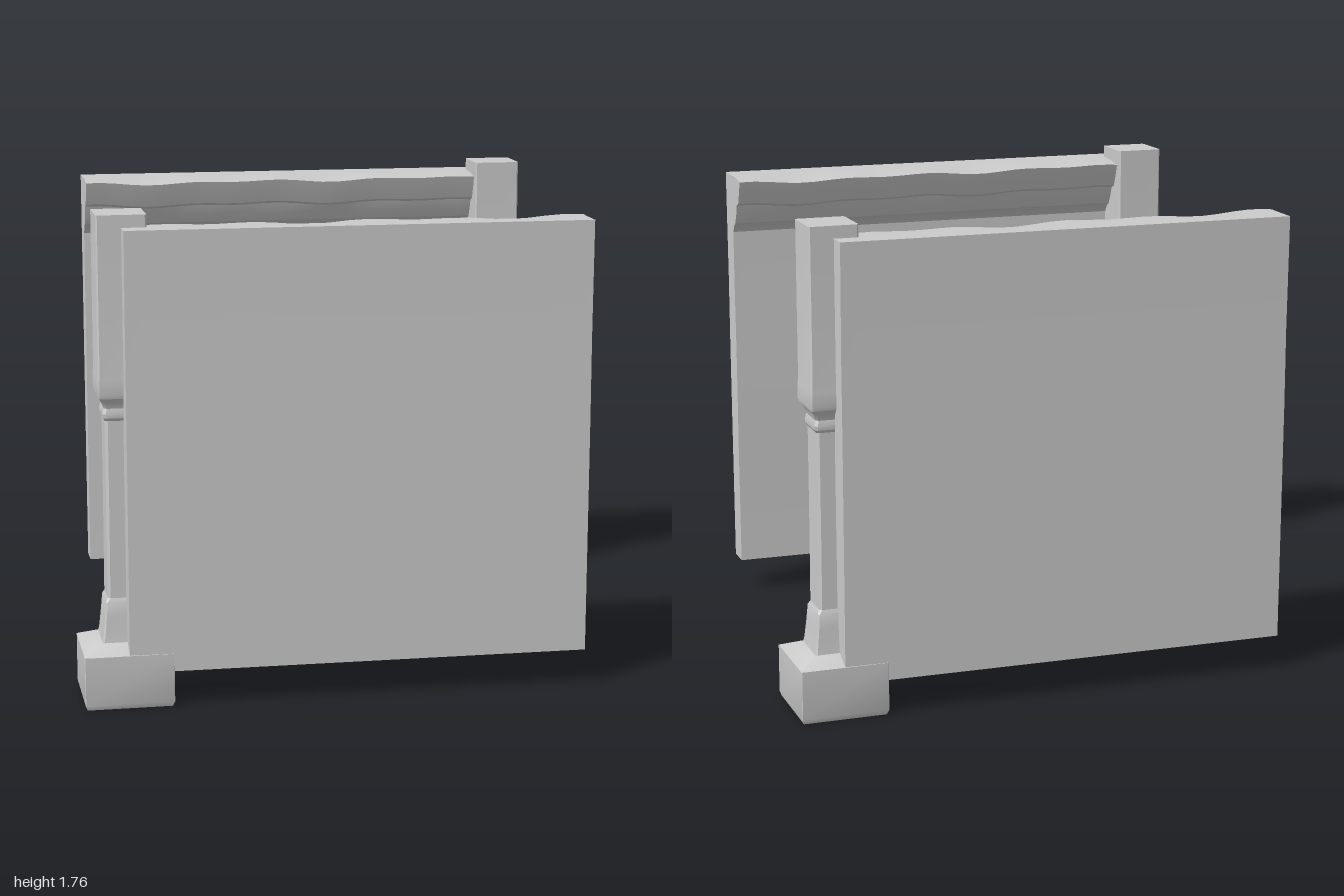
import * as THREE from 'three';
import { toCreasedNormals } from 'three/addons/utils/BufferGeometryUtils.js';

const material = new THREE.MeshStandardMaterial({ color: 0xcccccc });

// Square column with chamfered corners, lofted through [halfWidth, y, chamfer] rings.
function loftColumn(rings) {
  const positions = [], index = [];
  for (const [h, y, c] of rings) {
    const k = h - c;
    for (const [x, z] of [[h, -k], [h, k], [k, h], [-k, h], [-h, k], [-h, -k], [-k, -h], [k, -h]]) {
      positions.push(x, y, z);
    }
  }
  for (let r = 0; r < rings.length - 1; r++) {
    for (let i = 0; i < 8; i++) {
      const a = r * 8 + i, b = r * 8 + (i + 1) % 8;
      index.push(a, a + 8, b, b, a + 8, b + 8);
    }
  }
  // End caps
  const top = (rings.length - 1) * 8;
  for (let i = 1; i < 7; i++) {
    index.push(0, i, i + 1, top, top + i + 1, top + i);
  }
  const geometry = new THREE.BufferGeometry();
  geometry.setAttribute('position', new THREE.Float32BufferAttribute(positions, 3));
  geometry.setIndex(index);
  return toCreasedNormals(geometry, 0.4);
}

// Wall slab with a moulded lip along its inner top edge, profile given as [z, y].
function wallGeometry() {
  const profile = [
    [0.735, 0.13], [0.835, 0.13], [0.838, 0.6], [0.84, 1.0], [0.838, 1.3], [0.845, 1.715],
    [0.76, 1.715], [0.69, 1.71], [0.615, 1.70], [0.63, 1.655], [0.648, 1.61], [0.672, 1.60],
    [0.685, 1.565], [0.703, 1.53], [0.72, 1.52], [0.74, 1.49], [0.741, 1.3], [0.735, 1.0], [0.738, 0.6],
  ];
  const shape = new THREE.Shape(profile.map(([z, y]) => new THREE.Vector2(z, y)));
  const length = 1.67;
  const geometry = new THREE.ExtrudeGeometry(shape, { depth: length, steps: 28, bevelEnabled: false });
  geometry.rotateY(-Math.PI / 2).translate(0.83, 0, 0);

  // Slight skew along the length, with worn waves on the lip
  const p = geometry.attributes.position;
  for (let i = 0; i < p.count; i++) {
    const x = p.getX(i), y = p.getY(i), z = p.getZ(i);
    const wear = y > 1.6 && z < 0.7 ? 0.004 * (Math.sin(x * 9) + Math.sin(x * 17 + 1)) : 0;
    p.setZ(i, z + 0.008 * x / 0.83);
    p.setY(i, y + wear);
  }
  geometry.deleteAttribute('normal');
  geometry.deleteAttribute('uv');
  return toCreasedNormals(geometry, 0.5);
}

export function createModel() {
  const group = new THREE.Group();

  const plinth = loftColumn([[0.153, 0, 0.002], [0.16, 0.018, 0.002], [0.16, 0.195, 0.002], [0.09, 0.226, 0.004]]);
  const shaft = loftColumn([
    [0.09, 0.215, 0.006], [0.084, 0.25, 0.006], [0.078, 0.31, 0.006], [0.073, 0.37, 0.006],
    [0.066, 0.385, 0.01], [0.065, 0.7, 0.01], [0.065, 1.03, 0.01],
    [0.071, 1.04, 0.01], [0.073, 1.055, 0.01], [0.068, 1.075, 0.01], [0.074, 1.095, 0.008],
    [0.088, 1.115, 0.006],
  ]);
  const head = loftColumn([[0.088, 1.113, 0.006], [0.091, 1.125, 0.006], [0.091, 1.18, 0.006], [0.089, 1.2, 0.006], [0.089, 1.76, 0.006]]);
  const wall = wallGeometry();

  // Two identical sides, the back one turned half way round
  for (const [side, angle] of [['front', 0], ['back', Math.PI]]) {
    const half = new THREE.Group();
    half.name = side + 'Side';

    const post = new THREE.Group();
    post.name = side + 'Post';
    post.position.set(-0.84, 0, 0.67);
    for (const [name, geometry] of [['plinth', plinth], ['shaft', shaft], ['head', head]]) {
      const mesh = new THREE.Mesh(geometry, material);
      mesh.name = name;
      post.add(mesh);
    }

    const panel = new THREE.Mesh(wall, material);
    panel.name = side + 'Wall';

    half.add(post, panel);
    half.rotation.y = angle;
    group.add(half);
  }
  return group;
}
